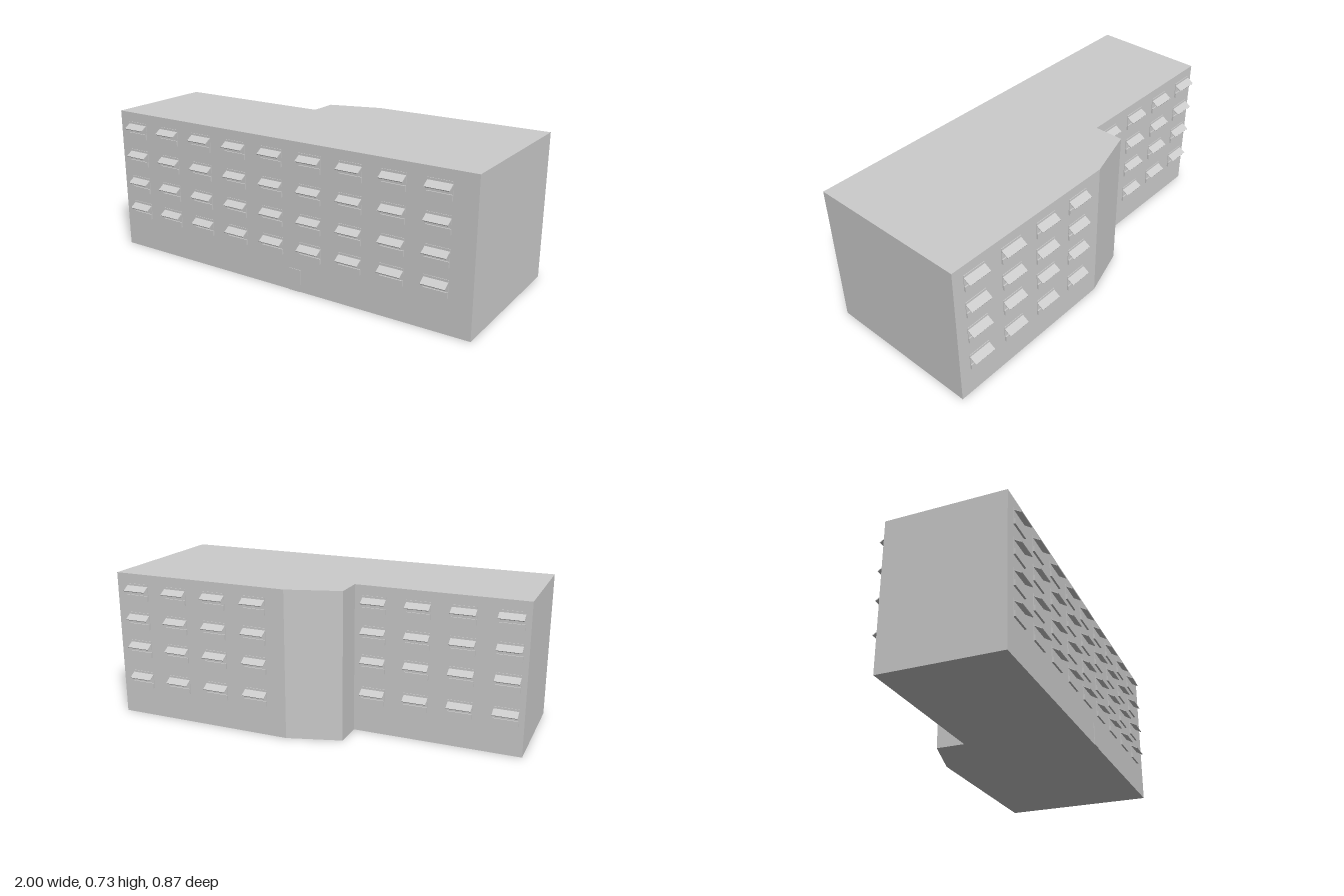
import * as THREE from 'three';

const concrete = new THREE.MeshStandardMaterial({ color: 0xcccccc });
concrete.name = 'pale grey concrete';

const HEIGHT = 0.733, FRONT = 0.398, BACK = -0.398, WING_BACK = -0.174;
const WIDTH = 0.117, PITCH = 0.214;

function box(name, w, h, d, x, y, z) {
  const mesh = new THREE.Mesh(new THREE.BoxGeometry(w, h, d), concrete);
  mesh.name = name;
  mesh.position.set(x, y, z);
  return mesh;
}

// Window facing +z, its wall at z = 0 and its top edge at y = 0
function makeWindow() {
  const g = new THREE.Group();
  g.name = 'window';
  g.add(box('windowPane', WIDTH, 0.083, 0.003, 0, -0.0415, 0.0015));
  g.add(box('windowSill', WIDTH, 0.027, 0.009, 0, -0.0695, 0.0045));
  // Sloping awning from the wall down to its outer edge
  const drop = 0.021, reach = 0.034;
  const awning = box('awning', WIDTH, 0.004, Math.hypot(drop, reach), 0, -0.0225, 0.019);
  awning.rotation.x = Math.atan2(drop, reach);
  g.add(awning);
  return g;
}

// Grid of windows on one wall
function windowGrid(name, firstX, columns, rows, z, turn) {
  const g = new THREE.Group();
  g.name = name;
  for (const y of rows) {
    for (let i = 0; i < columns; i++) {
      const w = makeWindow();
      w.position.set(firstX + i * PITCH, y, z);
      w.rotation.y = turn;
      g.add(w);
    }
  }
  return g;
}

export function createModel() {
  const model = new THREE.Group();
  model.name = 'apartmentBlock';

  // Footprint with the stepped and slanted rear, extruded upwards
  const plan = [[-1, FRONT], [1, FRONT], [1, BACK], [0.085, BACK],
    [-0.176, -0.32], [-0.176, WING_BACK], [-1, WING_BACK]];
  const shape = new THREE.Shape(plan.map(([x, z]) => new THREE.Vector2(x, -z)));
  const geometry = new THREE.ExtrudeGeometry(shape, { depth: HEIGHT, bevelEnabled: false });
  geometry.rotateX(-Math.PI / 2);
  const body = new THREE.Mesh(geometry, concrete);
  body.name = 'buildingBody';
  model.add(body);

  // Windows on the front and on both rear walls
  const upper = [0.684, 0.538, 0.393];
  model.add(windowGrid('frontWindows', -0.883, 9, [...upper, 0.254], FRONT, 0));
  model.add(windowGrid('rearWingWindows', -0.915, 4, [...upper, 0.231], WING_BACK, Math.PI));
  model.add(windowGrid('rearMainWindows', 0.241, 4, [...upper, 0.231], BACK, Math.PI));

  // Entrance door
  model.add(box('door', 0.065, 0.112, 0.003, 0.098, 0.056, FRONT + 0.0015));
  return model;
}
